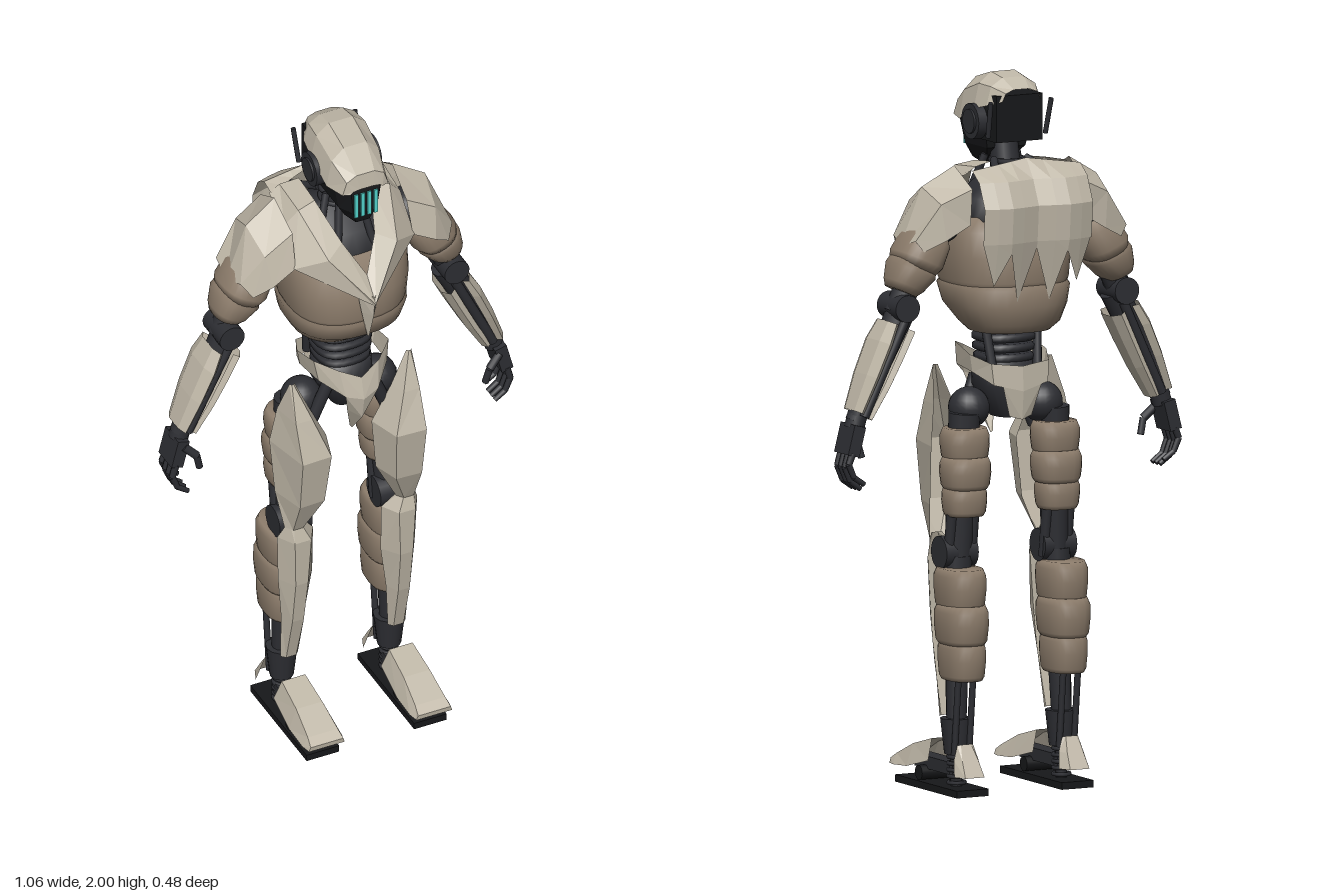
import * as THREE from 'three';

const mat = (name, color, side = THREE.FrontSide) => {
  const m = new THREE.MeshStandardMaterial({ color, side });
  m.name = name;
  return m;
};
const LIGHT = mat('pale armour', 0xc0b8a8, THREE.DoubleSide);
const BROWN = mat('brown padding', 0x8c7c6b, THREE.DoubleSide);
const DARK = mat('dark metal', 0x2d2e33, THREE.DoubleSide);
const BLACK = mat('black rubber', 0x17181a, THREE.DoubleSide);
const GLOW = mat('cyan light', 0x54d6cf);
const V = (p) => new THREE.Vector3(...p);

function add(parent, name, geo, material, pos = [0, 0, 0]) {
  const m = new THREE.Mesh(geo, material);
  m.name = name;
  m.position.set(...pos);
  parent.add(m);
  return m;
}

// Surface through rows of points; faceted unless smooth
function grid(rows, closed = false, smooth = false) {
  const n = rows[0].length, idx = [];
  for (let i = 0; i < rows.length - 1; i++)
    for (let j = 0; j < (closed ? n : n - 1); j++) {
      const k = (j + 1) % n, a = i * n + j, b = i * n + k, c = a + n, d = b + n;
      idx.push(a, c, b, b, c, d);
    }
  let g = new THREE.BufferGeometry();
  g.setAttribute('position', new THREE.Float32BufferAttribute(rows.flat(2), 3));
  g.setIndex(idx);
  if (!smooth) g = g.toNonIndexed();
  g.computeVertexNormals();
  return g;
}

// Capped smooth volume from rings [y, cx, cz, rx, rz], listed top to bottom
function lobe(rings, n = 24, power = 2.5) {
  const f = (v) => Math.sign(v) * Math.abs(v) ** (2 / power);
  const ring = ([y, cx, cz, rx, rz]) => Array.from({ length: n }, (_, i) => {
    const a = -i / n * Math.PI * 2;
    return [cx + rx * f(Math.cos(a)), y, cz + rz * f(Math.sin(a))];
  });
  const cap = ([y, cx, cz]) => [y, cx, cz, 0.001, 0.001];
  return grid([cap(rings[0]), ...rings, cap(rings.at(-1))].map(ring), true, true);
}

function rod(parent, name, a, b, r0, r1 = r0, material = DARK, sides = 12) {
  const p = V(a), q = V(b), d = q.clone().sub(p);
  const m = add(parent, name, new THREE.CylinderGeometry(r1, r0, d.length(), sides), material);
  m.position.copy(p.add(q).multiplyScalar(0.5));
  m.quaternion.setFromUnitVectors(new THREE.Vector3(0, 1, 0), d.normalize());
  return m;
}
const box = (parent, name, size, pos, material = DARK) => add(parent, name, new THREE.BoxGeometry(...size), material, pos);
const sub = (parent, name, pos = [0, 0, 0], rz = 0) => {
  const g = new THREE.Group();
  g.name = name;
  g.position.set(...pos);
  g.rotation.z = rz;
  parent.add(g);
  return g;
};

function buildHead(root) {
  const head = sub(root, 'head');
  // Helmet rows [z, top y, rim y, half width], front to back
  const rows = [[0.152, 1.875, 1.865, 0.05], [0.145, 1.92, 1.865, 0.07], [0.08, 1.975, 1.86, 0.088],
    [-0.01, 2.0, 1.9, 0.092], [-0.07, 1.99, 1.915, 0.085], [-0.118, 1.962, 1.93, 0.06]];
  add(head, 'helmet', grid(rows.map(([z, t, r, w]) => [-1, -0.82, -0.4, 0.4, 0.82, 1].map((u) => {
    const a = Math.abs(u);
    return [u * w, a === 1 ? r : a > 0.5 ? t - (t - r) * 0.3 : t, z];
  }))), LIGHT);
  // Face mask rings [y, half width, front z, back z]
  const mask = [[1.93, 0.01, 0.1, 0.0], [1.91, 0.068, 0.138, -0.03], [1.86, 0.074, 0.147, -0.04],
    [1.79, 0.06, 0.143, -0.03], [1.745, 0.034, 0.128, 0.02], [1.735, 0.015, 0.11, 0.06]];
  add(head, 'faceMask', grid(mask.map(([y, w, f, b]) =>
    [[w * 0.6, y, f], [w, y, f - 0.045], [w, y, b], [-w, y, b], [-w, y, f - 0.045], [-w * 0.6, y, f]]), true), BLACK);
  for (let i = 0; i < 4; i++) box(head, 'visorLight', [0.011, 0.078, 0.006], [-0.03 + i * 0.02, 1.818, 0.148], GLOW);
  box(head, 'backOfHead', [0.145, 0.13, 0.11], [0, 1.88, -0.052], BLACK);
  rod(head, 'neck', [0, 1.6, -0.05], [0, 1.82, -0.01], 0.045, 0.04);
  for (let i = 0; i < 4; i++) {
    const r = add(head, 'neckRing', new THREE.TorusGeometry(0.046, 0.008, 6, 20), DARK, [0, 1.66 + i * 0.032, -0.035]);
    r.rotation.x = Math.PI / 2;
  }
}

function buildTorso(root) {
  const t = sub(root, 'torso');
  add(t, 'chestPadding', lobe([[1.61, 0, -0.01, 0.165, 0.12], [1.57, 0, -0.01, 0.18, 0.15],
    [1.5, 0, -0.01, 0.18, 0.172], [1.43, 0, -0.01, 0.172, 0.172], [1.4, 0, -0.01, 0.16, 0.16]], 32), BROWN);
  add(t, 'ribPadding', lobe([[1.43, 0, -0.01, 0.16, 0.16], [1.41, 0, -0.012, 0.174, 0.176],
    [1.36, 0, -0.02, 0.163, 0.166], [1.31, 0, -0.045, 0.135, 0.13], [1.285, 0, -0.045, 0.11, 0.1]], 32), BROWN);
  add(t, 'collarCore', lobe([[1.72, 0, -0.05, 0.085, 0.06], [1.66, 0, -0.03, 0.14, 0.1], [1.57, 0, -0.01, 0.165, 0.14]]), DARK);
  // Abdomen stack
  for (let i = 0; i < 6; i++) {
    const y = 1.33 - i * 0.028, w = 0.092 - i * 0.003;
    add(t, 'abdomenSegment', lobe([[y, 0, -0.015, w - 0.01, 0.07], [y - 0.005, 0, -0.015, w, 0.08],
      [y - 0.018, 0, -0.015, w, 0.08], [y - 0.024, 0, -0.015, w - 0.01, 0.07]]), DARK);
  }
  add(t, 'pelvisCore', lobe([[1.2, 0, -0.01, 0.08, 0.08], [1.13, 0, -0.01, 0.085, 0.08], [1.04, 0, -0.02, 0.035, 0.05]]), DARK);
  // Back mantle with four pointed tails
  const xs = [-0.17, -0.13, -0.09, -0.05, 0, 0.05, 0.09, 0.13, 0.17];
  const tips = [1.55, 1.43, 1.52, 1.38, 1.53, 1.38, 1.52, 1.43, 1.55];
  const bulge = [0, 0.012, 0.02, 0.012, 0, 0.012, 0.02, 0.012, 0];
  const prof = [[1.765, -0.1], [1.775, -0.145], [1.72, -0.185], [1.65, -0.218], [1.55, -0.21]];
  add(t, 'backMantle', grid([...prof.map(([y, z], k) => xs.map((x, i) =>
    [x, y - (k < 2 ? Math.abs(x) * 0.15 : 0), z - bulge[i] * (k > 1 ? 1 : 0) - (k === 0 ? 0.05 * (1 - Math.abs(x) / 0.17) : 0)])),
  xs.map((x, i) => [x * (tips[i] < 1.45 ? 1 : 0.98), tips[i], -0.21 + (1.55 - tips[i]) * 0.22 - bulge[i]])]), LIGHT);
}

function buildTorsoSide(s) {
  // Chest collar, sternum blade and shoulder strap
  add(s, 'chestPlate', grid([
    [[0, 1.575, 0.155], [0.05, 1.665, 0.1], [0.085, 1.755, 0.0], [0.085, 1.765, -0.1]],
    [[0, 1.51, 0.212], [0.105, 1.64, 0.13], [0.14, 1.745, 0.01], [0.14, 1.755, -0.11]],
    [[0, 1.5, 0.205], [0.185, 1.6, 0.075], [0.178, 1.7, 0.0], [0.172, 1.735, -0.11]]]), LIGHT);
  add(s, 'sternumBlade', grid([[[0, 1.53, 0.205], [0.035, 1.535, 0.165]], [[0, 1.46, 0.198], [0.022, 1.46, 0.165]],
    [[0, 1.37, 0.168], [0.002, 1.37, 0.16]]]), LIGHT);
  // Pelvic belt, front guard and rear guard
  add(s, 'belt', grid([
    [[0, 1.195, 0.12], [0.06, 1.225, 0.105], [0.115, 1.245, 0.055], [0.12, 1.22, -0.04], [0.09, 1.2, -0.11], [0, 1.19, -0.125]],
    [[0, 1.13, 0.138], [0.05, 1.145, 0.125], [0.105, 1.18, 0.065], [0.112, 1.17, -0.04], [0.085, 1.14, -0.115], [0, 1.12, -0.13]]]), LIGHT);
  add(s, 'frontGuard', grid([[[0, 1.13, 0.138], [0.05, 1.145, 0.125]], [[0, 1.06, 0.125], [0.034, 1.08, 0.1]],
    [[0, 0.98, 0.06], [0.004, 0.985, 0.055]]]), LIGHT);
  add(s, 'rearGuard', grid([[[0, 1.12, -0.13], [0.06, 1.135, -0.122]], [[0, 1.04, -0.122], [0.035, 1.05, -0.112]]]), LIGHT);
  // Ear disc, aerial and neck cables
  for (const [r, x0, x1] of [[0.05, 0.07, 0.1], [0.034, 0.1, 0.106]])
    rod(s, 'earDisc', [x0, 1.865, -0.005], [x1, 1.865, -0.005], r, r, DARK, 24);
  rod(s, 'aerial', [0.09, 1.83, -0.09], [0.095, 1.93, -0.115], 0.007);
  for (const [a, b] of [[[0.03, 1.77, 0.04], [0.055, 1.62, 0.085]], [[0.05, 1.77, 0], [0.085, 1.66, 0.03]], [[0.05, 1.76, -0.05], [0.09, 1.72, -0.14]]])
    rod(s, 'neckCable', a, b, 0.011);
  rod(s, 'waistPiston', [0.085, 1.34, -0.05], [0.07, 1.18, -0.08], 0.013);
}

function buildArm(s) {
  const arm = sub(s, 'arm');
  add(arm, 'pauldron', grid([
    [[0.18, 1.6, 0.075], [0.175, 1.7, 0.045], [0.18, 1.755, -0.06], [0.175, 1.7, -0.155], [0.18, 1.6, -0.155]],
    [[0.25, 1.56, 0.078], [0.262, 1.65, 0.05], [0.275, 1.7, -0.045], [0.262, 1.66, -0.135], [0.25, 1.56, -0.145]],
    [[0.3, 1.525, 0.055], [0.325, 1.56, 0.025], [0.338, 1.54, -0.04], [0.332, 1.56, -0.115], [0.31, 1.53, -0.125]]]), LIGHT);
  add(arm, 'shoulderJoint', new THREE.SphereGeometry(0.065, 20, 14), DARK, [0.22, 1.6, -0.04]);
  const upper = sub(arm, 'upperArm', [0.25, 1.58, -0.045], 0.43);
  add(upper, 'upperPadding', lobe([[0, 0, 0, 0.045, 0.06], [-0.03, 0, 0, 0.065, 0.078],
    [-0.09, 0.004, 0, 0.07, 0.084], [-0.115, 0.006, 0, 0.06, 0.075]]), BROWN);
  add(upper, 'lowerPadding', lobe([[-0.1, 0.008, 0, 0.06, 0.07], [-0.125, 0.008, 0, 0.066, 0.078],
    [-0.17, 0.012, 0, 0.052, 0.064], [-0.19, 0.014, 0, 0.04, 0.05]]), BROWN);
  rod(upper, 'armCore', [0, -0.1, 0], [0, -0.25, 0], 0.036);
  const fore = sub(arm, 'forearm', [0.345, 1.37, -0.04], 0.42);
  rod(fore, 'elbow', [0, 0, -0.055], [0, 0, 0.055], 0.038, 0.038, DARK, 20);
  rod(fore, 'forearmCore', [-0.012, 0, 0], [0, -0.34, 0], 0.042, 0.026);
  for (const z of [-0.035, 0.035]) rod(fore, 'forearmPiston', [-0.015, -0.03, z], [-0.008, -0.32, z * 0.8], 0.014);
  // Two armour shells either side of the core
  const shell = (name, pts, rows) => add(fore, name, grid(rows.map(([y, k]) => pts.map(([x, z]) => [x * k, y, z * k]))), LIGHT);
  shell('outerShell', [[0.003, 0.05], [0.02, 0.068], [0.036, 0.035], [0.036, -0.035], [0.02, -0.068], [0.003, -0.05]],
    [[-0.05, 0.85], [-0.11, 1.05], [-0.21, 1], [-0.315, 0.78]]);
  shell('innerShell', [[-0.028, 0.05], [-0.045, 0.06], [-0.062, 0.03], [-0.062, -0.03], [-0.045, -0.06], [-0.028, -0.05]],
    [[-0.05, 1], [-0.13, 0.95], [-0.22, 0.85], [-0.32, 0.65]]);
  // Hand with curled fingers
  const hand = sub(arm, 'hand', [0.485, 1.06, -0.04]);
  rod(hand, 'wrist', [-0.015, 0.03, 0], [0, -0.02, 0], 0.028);
  box(hand, 'palm', [0.036, 0.085, 0.082], [0.012, -0.05, 0]).rotation.z = 0.25;
  for (let i = 0; i < 4; i++) {
    const z = -0.033 + i * 0.022, k = i === 0 ? 0.92 : 1;
    const path = [[0.022, -0.085, z], [0.034, -0.125 * k, z], [0.018, -0.165 * k, z], [-0.014, -0.188 * k, z]];
    for (let j = 0; j < 3; j++) rod(hand, 'finger', path[j], path[j + 1], 0.0105 - j * 0.001, 0.0095 - j * 0.001, DARK, 8);
  }
  rod(hand, 'thumb', [0, -0.03, 0.035], [-0.035, -0.065, 0.045], 0.012);
  rod(hand, 'thumb', [-0.035, -0.065, 0.045], [-0.046, -0.11, 0.04], 0.01);
}

function buildLeg(s) {
  const leg = sub(s, 'leg');
  const plate = (name, rows) => add(leg, name, grid(rows.map(([y, ...p]) => p.map(([x, z]) => [x, y, z]))), LIGHT);
  plate('thighPlate', [
    [1.185, [0.172, 0.05], [0.177, 0.056], [0.182, 0.056], [0.187, 0.05]],
    [1.08, [0.125, 0.05], [0.14, 0.1], [0.19, 0.098], [0.206, 0.01]],
    [0.965, [0.07, 0.04], [0.1, 0.138], [0.19, 0.142], [0.222, -0.005]],
    [0.8, [0.085, 0.035], [0.11, 0.114], [0.187, 0.118], [0.215, 0.015]],
    [0.69, [0.14, 0.05], [0.155, 0.07], [0.185, 0.07], [0.2, 0.045]]]);
  plate('shinPlate', [
    [0.715, [0.155, 0.055], [0.165, 0.062], [0.18, 0.062], [0.19, 0.055]],
    [0.65, [0.105, 0.03], [0.135, 0.082], [0.185, 0.082], [0.215, 0.03]],
    [0.5, [0.105, 0.025], [0.142, 0.076], [0.18, 0.076], [0.21, 0.025]],
    [0.36, [0.125, 0.018], [0.145, 0.055], [0.18, 0.055], [0.197, 0.018]],
    [0.21, [0.138, 0.003], [0.15, 0.016], [0.18, 0.016], [0.192, 0.003]]]);
  // Padding, each in three overlapping bands [top, bottom, cx, cz, rx, rz]
  for (const [name, a, b, cx, cz, rx, rz] of [
    ['thighPadding', 1.02, 0.93, 0.142, -0.05, 0.066, 0.062], ['thighPadding', 0.94, 0.85, 0.143, -0.055, 0.068, 0.066],
    ['thighPadding', 0.86, 0.775, 0.146, -0.055, 0.06, 0.058], ['calfPadding', 0.63, 0.52, 0.16, -0.056, 0.062, 0.086],
    ['calfPadding', 0.53, 0.42, 0.16, -0.064, 0.064, 0.09], ['calfPadding', 0.43, 0.32, 0.16, -0.066, 0.056, 0.08]])
    add(leg, name, lobe([[a, cx, cz, rx * 0.88, rz * 0.88], [a - 0.02, cx, cz, rx, rz],
      [(a + b) / 2, cx, cz, rx * 1.01, rz * 1.01], [b + 0.012, cx, cz, rx * 0.95, rz * 0.95], [b, cx, cz, rx * 0.85, rz * 0.85]]), BROWN);
  // Joints and inner frame
  add(leg, 'hipJoint', new THREE.SphereGeometry(0.058, 20, 14), DARK, [0.115, 1.07, -0.025]);
  rod(leg, 'hipPiston', [0.06, 1.15, 0.04], [0.12, 1.0, 0.03], 0.018);
  rod(leg, 'thighCore', [0.14, 1.06, -0.045], [0.152, 0.66, -0.03], 0.045, 0.038);
  for (const x of [0.115, 0.185]) rod(leg, 'kneePiston', [x, 0.82, -0.06], [x, 0.64, -0.035], 0.015);
  rod(leg, 'knee', [0.105, 0.67, -0.018], [0.205, 0.67, -0.018], 0.046, 0.046, DARK, 24);
  rod(leg, 'shinCore', [0.155, 0.66, -0.03], [0.165, 0.2, -0.045], 0.042, 0.028);
  rod(leg, 'ankle', [0.165, 0.21, -0.045], [0.165, 0.11, -0.045], 0.045, 0.034);
  for (const x of [0.142, 0.188]) rod(leg, 'anklePiston', [x, 0.34, -0.1], [x, 0.11, -0.075], 0.009);
  // Foot
  const foot = sub(leg, 'foot', [0.165, 0, 0]);
  box(foot, 'sole', [0.1, 0.02, 0.355], [0, 0.01, 0.0385], BLACK);
  const cover = (name, rows) => add(foot, name, grid(rows.map(([zb, yb, wb, zt, yt, wt]) =>
    [[-wb, yb, zb], [-wt, yt, zt], [wt, yt, zt], [wb, yb, zb]])), LIGHT);
  cover('toeCover', [[0.018, 0.085, 0.055, 0.03, 0.145, 0.036], [0.13, 0.056, 0.062, 0.13, 0.118, 0.04],
    [0.21, 0.05, 0.061, 0.215, 0.08, 0.046], [0.24, 0.05, 0.055, 0.242, 0.064, 0.05], [0.24, 0.049, 0.055, 0.24, 0.049, 0.05]]);
  cover('heelCover', [[-0.095, 0.14, 0.025, -0.1, 0.142, 0.016], [-0.1, 0.1, 0.038, -0.125, 0.1, 0.025],
    [-0.115, 0.055, 0.045, -0.152, 0.055, 0.03]]);
  rod(foot, 'toeRoller', [-0.045, 0.042, 0.09], [0.045, 0.042, 0.09], 0.021, 0.021, BLACK, 16);
  box(foot, 'footBeam', [0.05, 0.035, 0.2], [0, 0.07, 0.05]);
  rod(foot, 'ankleSpringCore', [0, 0.02, -0.045], [0, 0.12, -0.045], 0.016);
  for (let i = 0; i < 5; i++)
    add(foot, 'ankleSpring', new THREE.TorusGeometry(0.023, 0.006, 6, 16), DARK, [0, 0.03 + i * 0.018, -0.045]).rotation.x = Math.PI / 2;
}

export function createModel() {
  const root = new THREE.Group();
  root.name = 'robot';
  buildHead(root);
  buildTorso(root);
  const left = sub(root, 'leftSide');
  buildTorsoSide(left);
  buildArm(left);
  buildLeg(left);
  const right = left.clone();
  right.name = 'rightSide';
  right.scale.x = -1;
  root.add(right);
  return root;
}
